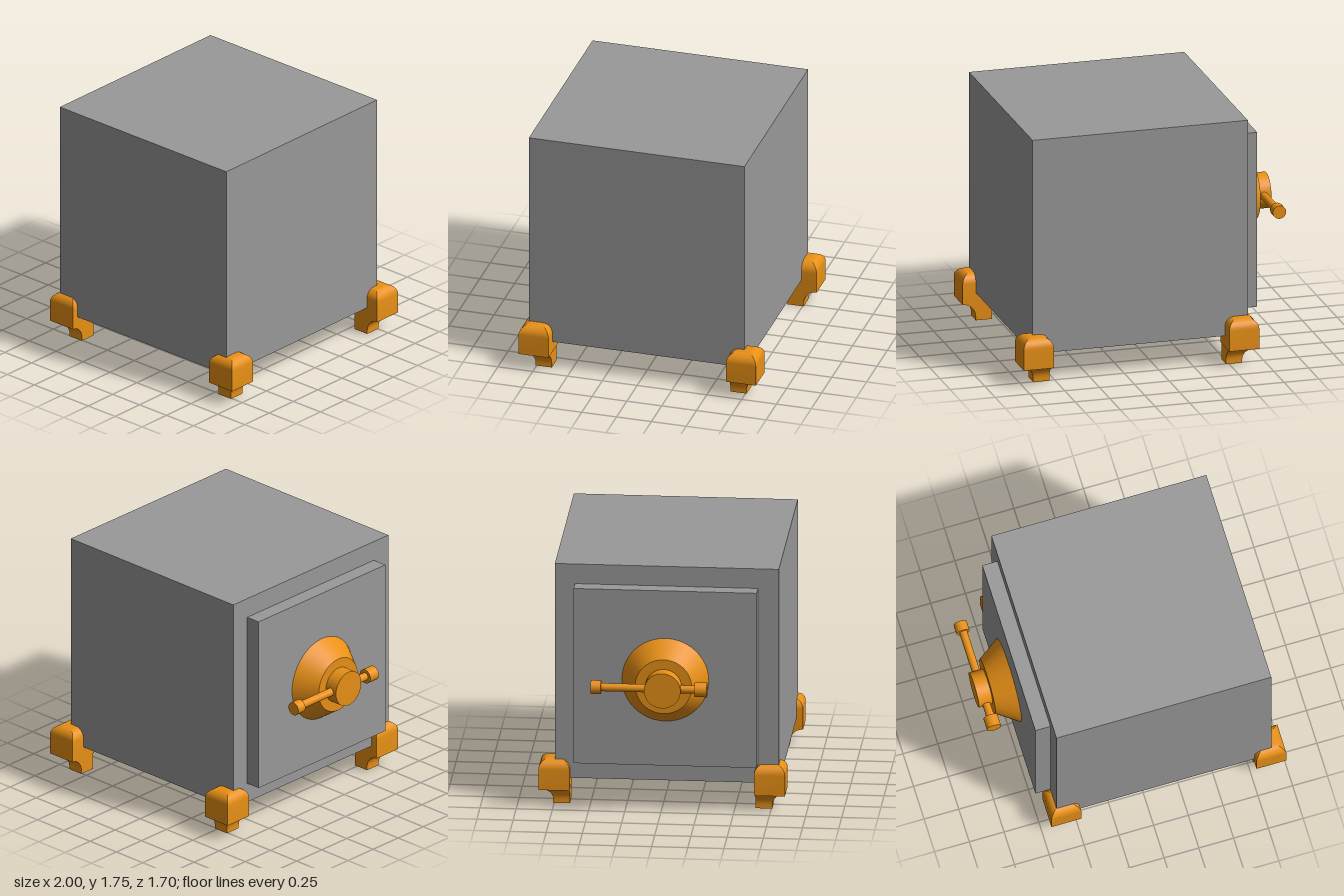
import * as THREE from 'three';
import { toCreasedNormals } from 'three/addons/utils/BufferGeometryUtils.js';

const grey = new THREE.MeshStandardMaterial({ color: 0x999999 });
const brass = new THREE.MeshStandardMaterial({ color: 0xe89016 });

// Box given by its two extreme corners
function box(name, min, max) {
  const size = max.map((v, i) => v - min[i]);
  const mesh = new THREE.Mesh(new THREE.BoxGeometry(...size), grey);
  mesh.position.set(...max.map((v, i) => (v + min[i]) / 2));
  mesh.name = name;
  return mesh;
}

// Square sections stacked along y; each level is [y, low, high] in both x and z
function squareLoft(levels) {
  const rings = levels.map(([y, lo, hi]) => [[lo, y, lo], [lo, y, hi], [hi, y, hi], [hi, y, lo]]);
  const pos = [];
  const quad = (a, b, c, d) => pos.push(...a, ...b, ...c, ...a, ...c, ...d);
  for (let i = 0; i < rings.length - 1; i++) {
    for (let k = 0; k < 4; k++) {
      const n = (k + 1) % 4;
      quad(rings[i][k], rings[i][n], rings[i + 1][n], rings[i + 1][k]);
    }
  }
  const first = rings[0], last = rings[rings.length - 1];
  quad(first[3], first[2], first[1], first[0]);
  quad(...last);
  const geo = new THREE.BufferGeometry();
  geo.setAttribute('position', new THREE.Float32BufferAttribute(pos, 3));
  return toCreasedNormals(geo, 0.35);
}

// Foot with a domed top and a stem hollowed on its two outer sides
function footGeometry() {
  const w = 0.215, top = 0.337, r = 0.07, cove = 0.095, steps = 8, stemInset = 0.004;
  const levels = [[0, stemInset, w - cove]];
  for (let i = 0; i <= steps; i++) {
    const a = (i / steps) * Math.PI / 2;
    levels.push([0.026 + cove * Math.sin(a), stemInset, w - cove * Math.cos(a)]);
  }
  for (let i = 0; i <= steps; i++) {
    const a = (i / steps) * Math.PI / 2;
    const inset = r * (1 - Math.cos(a));
    levels.push([top - r + r * Math.sin(a), inset, w - inset]);
  }
  // Square shoulder where the block overhangs the stem
  levels.splice(steps + 2, 0, [0.121, 0, w]);
  return squareLoft(levels);
}

export function createModel() {
  const safe = new THREE.Group();
  safe.name = 'safe';

  // Cabinet and door
  safe.add(box('cabinet', [-0.64, 0.2, -0.742], [0.905, 1.75, 0.806]));
  safe.add(box('door', [-0.748, 0.342, -0.603], [-0.64, 1.608, 0.662]));

  // Handle on the door, built around its own axis
  const handle = new THREE.Group();
  handle.name = 'handle';
  handle.position.set(0, 0.964, 0.031);
  safe.add(handle);

  const cylinder = (name, rTop, rBottom, length, axis, x, z) => {
    const geo = new THREE.CylinderGeometry(rTop, rBottom, length, 48);
    if (axis === 'x') geo.rotateZ(Math.PI / 2);
    else geo.rotateX(Math.PI / 2);
    const mesh = new THREE.Mesh(geo, brass);
    mesh.position.set(x, 0, z);
    mesh.name = name;
    handle.add(mesh);
  };
  cylinder('handleBase', 0.195, 0.3, 0.155, 'x', -0.8255, 0);
  cylinder('hub', 0.126, 0.126, 0.1, 'x', -0.95, 0);
  cylinder('crossBar', 0.028, 0.028, 0.7, 'z', -0.947, -0.1);
  cylinder('frontKnob', 0.051, 0.051, 0.085, 'z', -0.947, 0.2625);
  cylinder('backKnob', 0.047, 0.047, 0.07, 'z', -0.949, -0.462);

  // Four corner feet, each turned a further quarter
  const foot = footGeometry();
  const corners = [
    ['frontLeftFoot', 0.785, 0.637],
    ['backLeftFoot', 0.785, -0.637],
    ['backRightFoot', -0.475, -0.637],
    ['frontRightFoot', -0.475, 0.637],
  ];
  corners.forEach(([name, x, z], i) => {
    const mesh = new THREE.Mesh(foot, brass);
    mesh.position.set(x, 0, z);
    mesh.rotation.y = (i * Math.PI) / 2;
    mesh.name = name;
    safe.add(mesh);
  });

  return safe;
}
